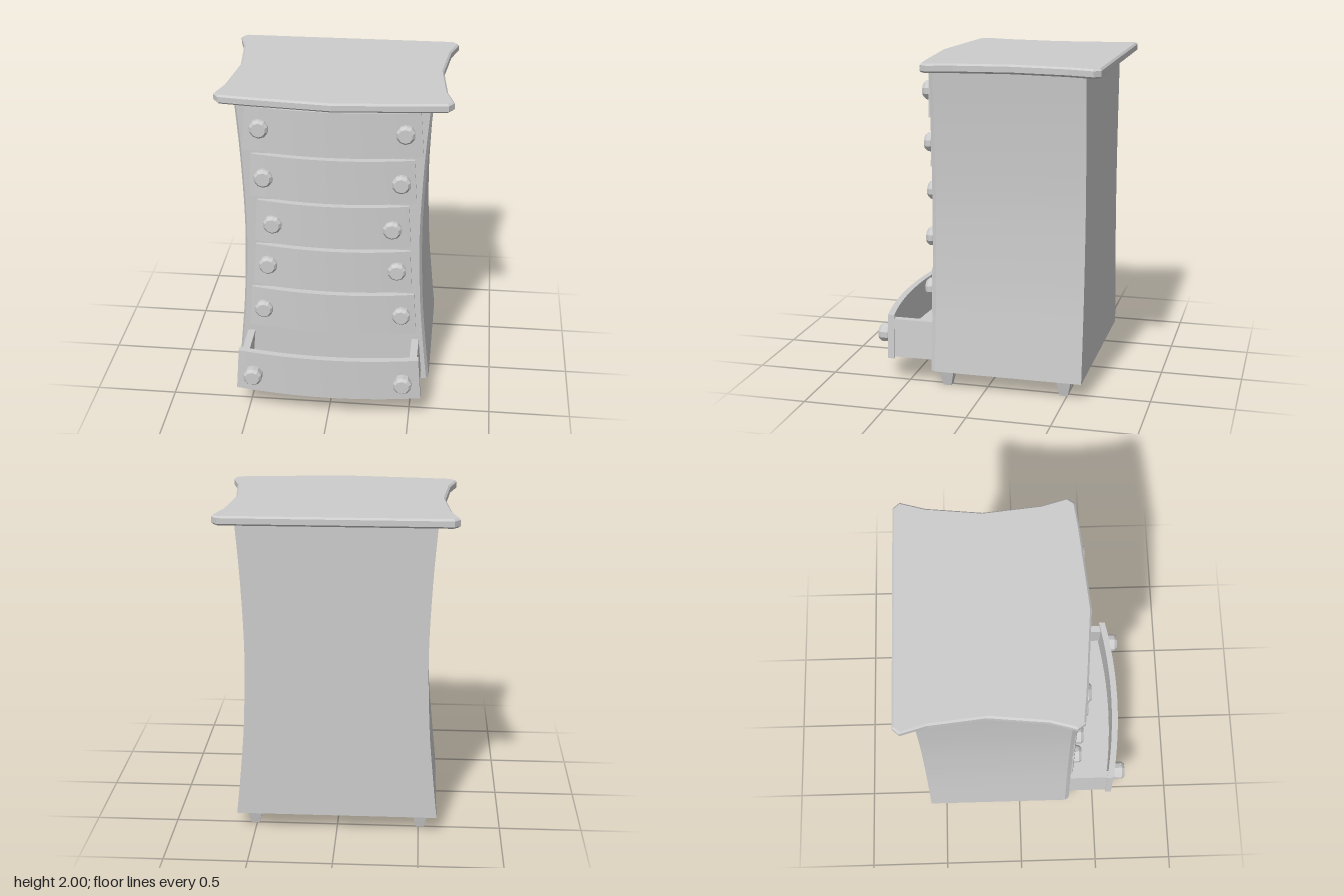
import * as THREE from 'three';
import { toCreasedNormals } from 'three/addons/utils/BufferGeometryUtils.js';

const wood = new THREE.MeshStandardMaterial({ color: 0xcccccc });
wood.name = 'pale grey';
const woodShell = new THREE.MeshStandardMaterial({ color: 0xcccccc, side: THREE.DoubleSide });
woodShell.name = 'pale grey';

function add(parent, name, geometry, x = 0, y = 0, z = 0, material = wood) {
  const mesh = new THREE.Mesh(geometry, material);
  mesh.name = name;
  mesh.position.set(x, y, z);
  parent.add(mesh);
  return mesh;
}

// Slab from a plan outline of [x, z] points, standing from y0 to y1
function planSlab(points, y0, y1, bevel = 0) {
  const shape = new THREE.Shape(points.map(([x, z]) => new THREE.Vector2(x, z)));
  const g = new THREE.ExtrudeGeometry(shape, {
    depth: y1 - y0 - 2 * bevel, bevelEnabled: bevel > 0, bevelSegments: 1,
    bevelSize: bevel, bevelOffset: -bevel, bevelThickness: bevel,
  });
  g.rotateX(Math.PI / 2);
  g.translate(0, y1 - bevel, 0);
  return g;
}

// Points along a bowed line, from -x to +x
function bowLine(halfWidth, zEnd, bow, n = 16) {
  return Array.from({ length: n + 1 }, (_, i) => {
    const t = (i / n) * 2 - 1;
    return [t * halfWidth, zEnd + bow * (1 - t * t)];
  });
}

// Bowed drawer front, narrowing towards its top
function drawerFront(w0, w1, y0, y1, z) {
  const outline = [...bowLine(1, z - 0.04, 0.055), ...bowLine(1, z, 0.055).reverse()];
  const g = planSlab(outline, y0, y1);
  const p = g.attributes.position;
  for (let i = 0; i < p.count; i++) {
    const t = (p.getY(i) - y0) / (y1 - y0);
    p.setX(i, p.getX(i) * (w0 + (w1 - w0) * t));
  }
  return toCreasedNormals(g, 0.5);
}

// Waisted cabinet shell, open underneath
function cabinetShell() {
  const profile = new THREE.SplineCurve([
    [0.61, 0.11], [0.58, 0.4], [0.555, 0.7], [0.54, 1.15], [0.555, 1.6], [0.58, 1.95],
  ].map(([x, y]) => new THREE.Vector2(x, y)));
  const rings = profile.getPoints(20).map(({ x: w, y }) => [
    [w, y, -0.6], [w, y, 0.307], [w - 0.015, y, 0.333],
    [0.015 - w, y, 0.333], [-w, y, 0.307], [-w, y, -0.6],
  ]);
  const verts = [];
  for (let r = 0; r < rings.length - 1; r++) {
    for (let i = 0; i < 6; i++) {
      const j = (i + 1) % 6;
      const a = rings[r][i], b = rings[r][j], c = rings[r + 1][i], d = rings[r + 1][j];
      verts.push(...a, ...c, ...b, ...b, ...c, ...d);
    }
  }
  const g = new THREE.BufferGeometry();
  g.setAttribute('position', new THREE.Float32BufferAttribute(verts, 3));
  return toCreasedNormals(g, 0.4);
}

// Slanted side board of the open drawer
function trayWall(side) {
  const g = new THREE.BoxGeometry(0.045, 0.235, 0.31);
  const p = g.attributes.position;
  for (let i = 0; i < p.count; i++) p.setX(i, p.getX(i) - side * 0.085 * p.getY(i));
  g.computeVertexNormals();
  return g;
}

// Faceted knob with a chamfered face, pointing along +z
function knobGeometry(depth) {
  const g = new THREE.LatheGeometry([
    [0, 0], [0.048, 0], [0.058, 0.015], [0.058, depth - 0.018], [0.043, depth], [0, depth],
  ].map(([x, y]) => new THREE.Vector2(x, y)), 10);
  g.rotateX(Math.PI / 2);
  return toCreasedNormals(g, 0.3);
}

export function createModel() {
  const root = new THREE.Group();
  root.name = 'chestOfDrawers';

  add(root, 'cabinet', cabinetShell(), 0, 0, 0, woodShell);

  // Top board with waisted sides and a bowed front
  const half = [[0.665, -0.70], [0.70, -0.66], [0.657, -0.51], [0.622, -0.18],
    [0.657, 0.16], [0.70, 0.31], [0.668, 0.355], [0.5, 0.376]];
  const outline = [...half, [0, 0.42], ...half.map(([x, z]) => [-x, z]).reverse()];
  add(root, 'topBoard', planSlab(outline, 1.945, 2, 0.011));

  // Tapered feet
  const foot = new THREE.CylinderGeometry(0.05 * Math.SQRT2, 0.025 * Math.SQRT2, 0.12, 4, 1)
    .rotateY(Math.PI / 4).toNonIndexed();
  foot.computeVertexNormals();
  for (const x of [-0.51, 0.51]) {
    for (const z of [0.25, -0.48]) add(root, 'foot', foot, x, 0.06, z);
  }

  // Drawers: bottom y, top y, half widths, knob x, knob y
  const drawers = [
    [0.155, 0.43, 0.572, 0.552, 0.46, 0.282],
    [0.457, 0.73, 0.523, 0.503, 0.428, 0.59],
    [0.76, 1.033, 0.49, 0.472, 0.395, 0.905],
    [1.06, 1.335, 0.476, 0.456, 0.361, 1.187],
    [1.362, 1.637, 0.503, 0.483, 0.41, 1.493],
    [1.663, 1.94, 0.535, 0.513, 0.428, 1.81],
  ];
  drawers.forEach(([y0, y1, w0, w1, kx, ky], i) => {
    const open = i === 0;
    const drawer = new THREE.Group();
    drawer.name = open ? 'openDrawer' : 'drawer';
    root.add(drawer);
    add(drawer, 'drawerFront', drawerFront(w0, w1, y0, y1, open ? 0.62 : 0.348));
    const knob = knobGeometry(open ? 0.075 : 0.058);
    for (const s of [-1, 1]) add(drawer, 'knob', knob, s * kx, ky, open ? 0.63 : 0.347);
    if (!open) return;
    for (const s of [-1, 1]) add(drawer, 'drawerSide', trayWall(s), s * 0.528, 0.283, 0.445);
    const floor = [[-0.53, 0.31], ...bowLine(0.53, 0.58, 0.05), [0.53, 0.31]];
    add(drawer, 'drawerFloor', planSlab(floor, 0.17, 0.19));
  });
  return root;
}
